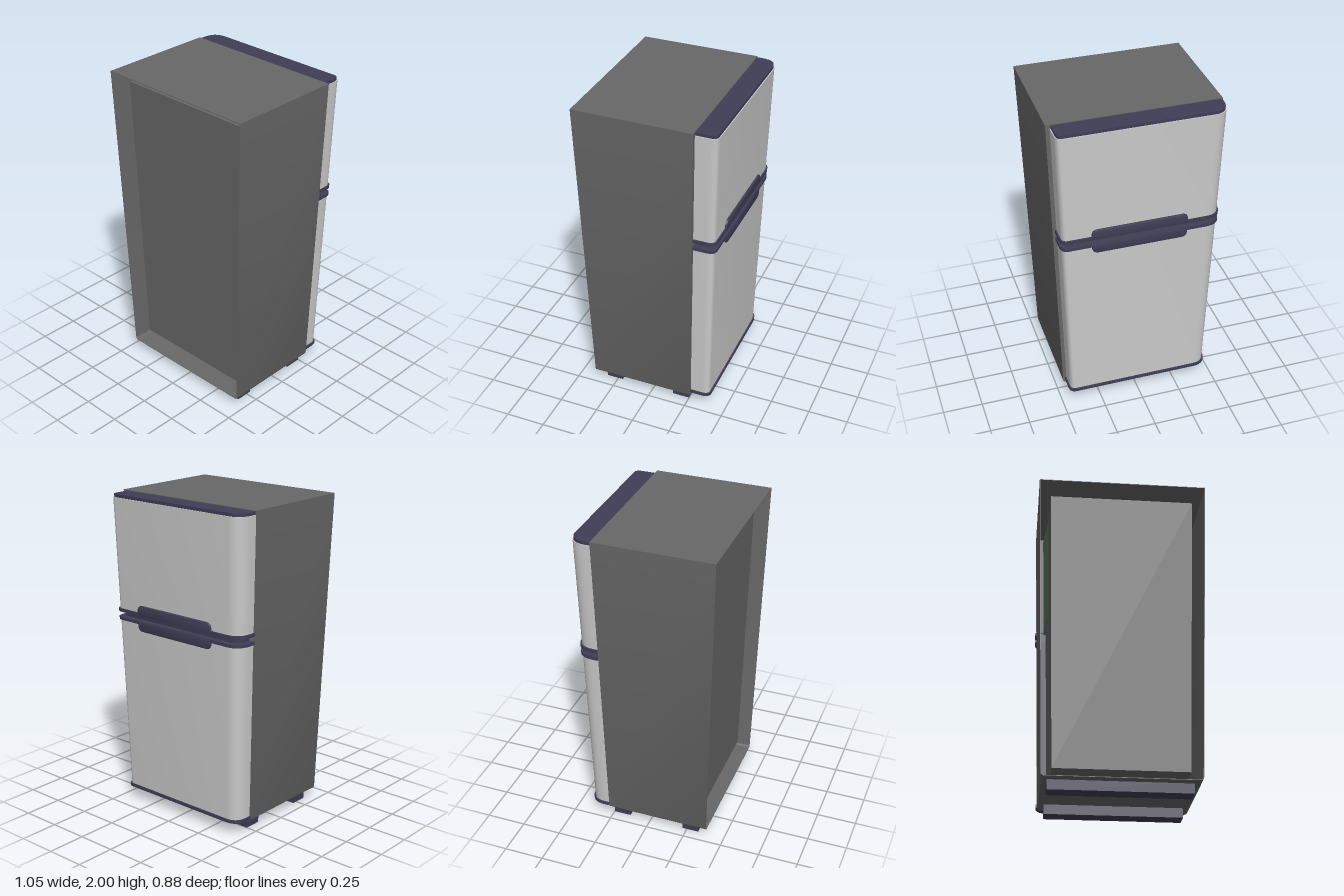
import * as THREE from 'three';
import { toCreasedNormals } from 'three/addons/utils/BufferGeometryUtils.js';

const paint = (color) => new THREE.MeshStandardMaterial({ color, side: THREE.DoubleSide });

// Everything is built straight, then narrowed towards the floor.
function taper(geometry) {
  const p = geometry.attributes.position;
  for (let i = 0; i < p.count; i++) {
    const s = 1 - 0.114 * (2 - p.getY(i)) / 1.94;
    p.setX(i, p.getX(i) * s);
    p.setZ(i, p.getZ(i) * s);
  }
  geometry.computeVertexNormals();
  return toCreasedNormals(geometry, 0.6);
}

// Door outline in plan (x, -z); one corner is rounder than the other.
function doorPlan(e, back = 0.305) {
  const s = new THREE.Shape();
  const l = -0.525 - e, r = 0.5 + e, f = 0.44 + e;
  s.moveTo(l, back);
  s.lineTo(l, 0.335);
  s.quadraticCurveTo(l, f, -0.43, f);
  s.lineTo(0.465, f);
  s.quadraticCurveTo(r, f, r, 0.39);
  s.lineTo(r, back);
  s.closePath();
  return s;
}

function doorSlab(y0, y1, e) {
  const g = new THREE.ExtrudeGeometry(doorPlan(e), { depth: y1 - y0, bevelEnabled: false, curveSegments: 8 });
  g.rotateX(-Math.PI / 2);
  g.translate(0, y0, 0);
  return g;
}

function block(x0, x1, y0, y1, z0, z1) {
  const g = new THREE.BoxGeometry(x1 - x0, y1 - y0, z1 - z0);
  g.translate((x0 + x1) / 2, (y0 + y1) / 2, (z0 + z1) / 2);
  return g;
}

// Rectangle with rounded lower corners, used for the casing.
function rect(target, x0, x1, y0, y1, r) {
  target.moveTo(x0 + r, y0);
  target.lineTo(x1 - r, y0);
  target.quadraticCurveTo(x1, y0, x1, y0 + r);
  target.lineTo(x1, y1);
  target.lineTo(x0, y1);
  target.lineTo(x0, y0 + r);
  target.quadraticCurveTo(x0, y0, x0 + r, y0);
  return target;
}

function frame(outer, hole, z0, z1) {
  const s = rect(new THREE.Shape(), ...outer);
  s.holes.push(rect(new THREE.Path(), ...hole));
  const g = new THREE.ExtrudeGeometry(s, { depth: z1 - z0, bevelEnabled: false, curveSegments: 4 });
  g.translate(0, 0, z0);
  return g;
}

// Box whose front end (towards the doors) is flared.
function linerBox(back, front) {
  const g = new THREE.BoxGeometry(1, 1, 1).toNonIndexed();
  const p = g.attributes.position;
  for (let i = 0; i < p.count; i++) {
    const [w, y0, y1, z] = p.getZ(i) > 0 ? back : front;
    p.setXYZ(i, Math.sign(p.getX(i)) * w, p.getY(i) > 0 ? y1 : y0, z);
  }
  return g;
}

// Grip plate: flat along the door gap, rounded on the far side.
function gripPlate(yGap, yFar) {
  const s = new THREE.Shape();
  const r = 0.04, d = Math.sign(yFar - yGap);
  s.moveTo(-0.305, yGap);
  s.lineTo(-0.305, yFar - d * r);
  s.quadraticCurveTo(-0.305, yFar, -0.305 + r, yFar);
  s.lineTo(0.315 - r, yFar);
  s.quadraticCurveTo(0.315, yFar, 0.315, yFar - d * r);
  s.lineTo(0.315, yGap);
  s.closePath();
  const g = new THREE.ExtrudeGeometry(s, {
    depth: 0.04, bevelThickness: 0.006, bevelSize: 0.006, bevelOffset: -0.006, bevelSegments: 2, curveSegments: 6,
  });
  g.translate(0, 0, -0.447);
  return g;
}

export function createModel() {
  const group = new THREE.Group();
  const casing = paint(0x686868), door = paint(0xcccccc), trim = paint(0x403e56), green = paint(0x5f7a5f);
  const add = (name, geometry, material) => {
    const mesh = new THREE.Mesh(taper(geometry), material);
    mesh.name = name;
    group.add(mesh);
  };

  // Thin open-backed casing with a front flange
  const outer = [-0.525, 0.525, 0.06, 2, 0.02];
  add('casing', frame(outer, [-0.521, 0.521, 0.064, 1.996, 0.018], -0.305, 0.44), casing);
  add('frontFlange', frame(outer, [-0.519, 0.488, 0.082, 1.992, 0.005], -0.304, -0.298), casing);

  // Cabinet liner and freezer liner: half width, bottom, top, z
  add('cabinetLiner', linerBox([0.453, 0.13, 1.93, 0.36], [0.462, 0.115, 1.94, -0.29]), casing);
  add('freezerLiner', linerBox([0.44, 1.29, 1.92, 0.3], [0.477, 1.262, 1.972, -0.292]), green);

  // Doors with their dark backs
  const doors = [['upperDoor', 1.28, 1.976], ['lowerDoor', 0.1, 1.212]];
  for (const [name, y0, y1] of doors) {
    add(name, doorSlab(y0, y1, 0), door);
    add(name + 'Back', block(-0.52, 0.49, y0, y1, -0.306, -0.3), trim);
  }

  // Edge trims and the hinge strip between the doors
  add('topTrim', doorSlab(1.976, 1.996, -0.006), trim);
  add('upperDoorBottomTrim', doorSlab(1.262, 1.282, 0.01), trim);
  add('hingeStrip', doorSlab(1.23, 1.262, -0.03), trim);
  add('lowerDoorTopTrim', doorSlab(1.21, 1.23, 0.01), trim);
  add('bottomTrim', doorSlab(0.08, 0.1, 0.01), trim);

  // Grips above and below the gap
  add('upperGrip', gripPlate(1.264, 1.33), trim);
  add('lowerGrip', gripPlate(1.228, 1.165), trim);

  // Two foot rails across the underside
  for (const [name, z0, z1] of [['rearFootRail', 0.248, 0.37], ['frontFootRail', -0.281, -0.158]]) {
    add(name, block(-0.485, 0.475, 0, 0.062, z0, z1), trim);
  }
  return group;
}
